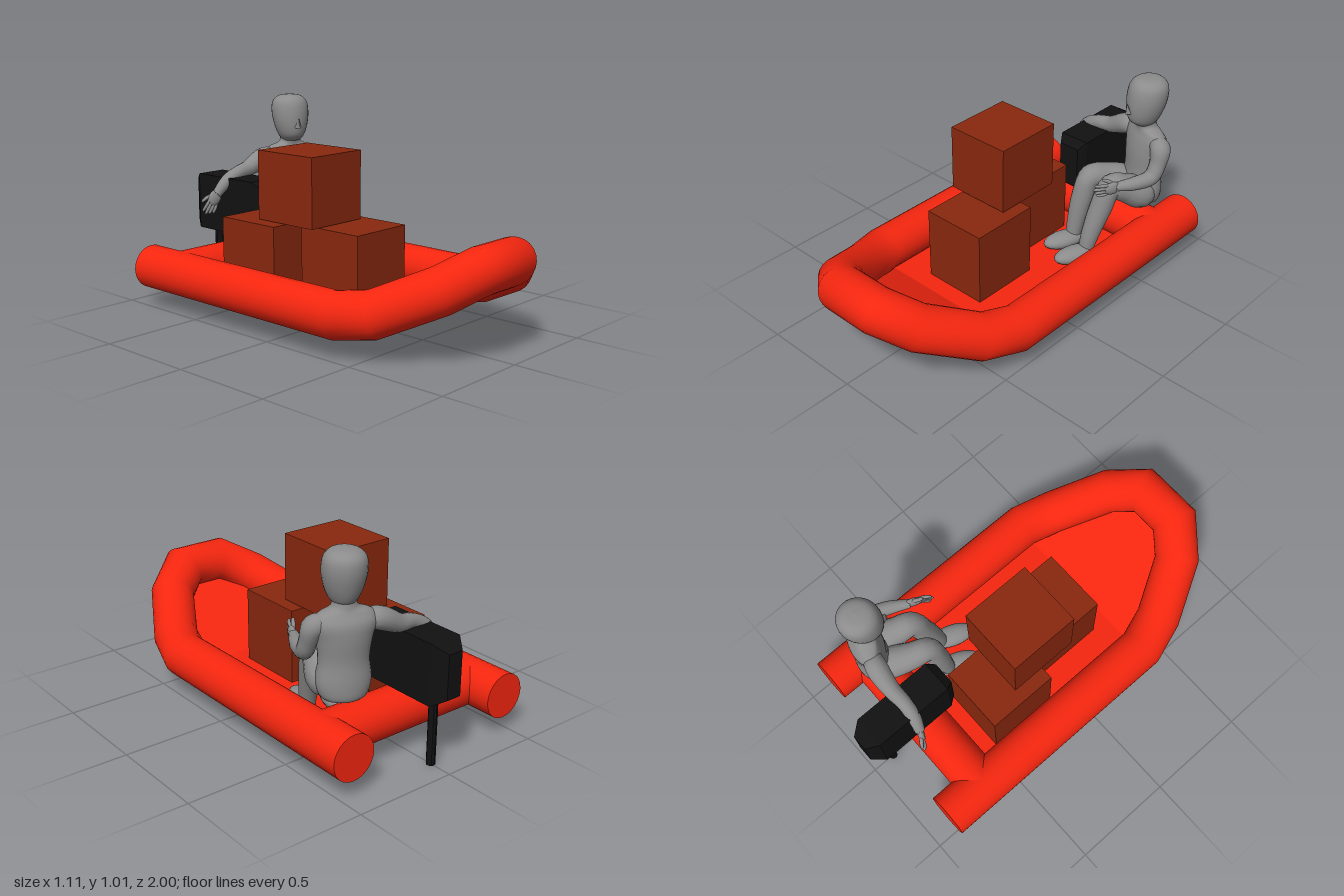
import * as THREE from 'three';

const V = (x, y, z) => new THREE.Vector3(x, y, z);
const material = (color, extra = {}) => new THREE.MeshStandardMaterial({ color, ...extra });

// Skin a list of rings (counter-clockwise about the direction of travel), with flat end caps
function loft(rings) {
  const n = rings[0].length, pos = [], idx = [];
  const add = p => pos.push(p.x, p.y, p.z) / 3 - 1;
  rings.forEach(r => r.forEach(add));
  for (let i = 0; i < rings.length - 1; i++) {
    for (let j = 0; j < n; j++) {
      const a = i * n + j, b = i * n + (j + 1) % n;
      idx.push(a, b, a + n, b, b + n, a + n);
    }
  }
  [rings[0], rings[rings.length - 1]].forEach((ring, end) => {
    const k = ring.map(add);
    for (let j = 1; j < n - 1; j++) idx.push(k[0], k[end ? j : j + 1], k[end ? j + 1 : j]);
  });
  const g = new THREE.BufferGeometry();
  g.setAttribute('position', new THREE.Float32BufferAttribute(pos, 3));
  g.setIndex(idx);
  g.computeVertexNormals();
  return g;
}

// Round pipe along a polyline with mitred joints
function mitredTube(path, radius, sides) {
  const dirs = path.slice(1).map((p, i) => p.clone().sub(path[i]).normalize());
  let offsets = Array.from({ length: sides }, (_, j) => {
    const a = j / sides * Math.PI * 2;
    return V(Math.cos(a) * radius, Math.sin(a) * radius, 0);
  });
  return loft(path.map((c, i) => {
    const d = dirs[Math.max(i - 1, 0)], next = dirs[Math.min(i, dirs.length - 1)];
    const m = d.clone().add(next);
    offsets = offsets.map(o => o.clone().addScaledVector(d, -o.dot(m) / d.dot(m)));
    return offsets.map(o => o.clone().add(c));
  }));
}

// Smooth tapering limb through [x, y, z, radius] points
function limb(points, sides = 14, steps = 5) {
  const curve = new THREE.CatmullRomCurve3(points.map(p => V(p[0], p[1], p[2])));
  const widths = new THREE.CatmullRomCurve3(points.map(p => V(p[3], p[0], p[1])));
  const count = (points.length - 1) * steps, rings = [];
  let u = V(0.31, 0.2, 0.93);
  for (let i = 0; i <= count; i++) {
    const c = curve.getPoint(i / count), d = curve.getTangent(i / count);
    const r = Math.max(widths.getPoint(i / count).x, 0.001);
    u = u.addScaledVector(d, -u.dot(d)).normalize();
    const v = d.clone().cross(u);
    rings.push(Array.from({ length: sides }, (_, j) => {
      const a = j / sides * Math.PI * 2;
      return c.clone().addScaledVector(u, Math.cos(a) * r).addScaledVector(v, Math.sin(a) * r);
    }));
  }
  return loft(rings);
}

// Stacked ellipses from [y, half width, half depth, z offset]
function ellipseStack(rows, sides = 28) {
  const curve = new THREE.CatmullRomCurve3(rows.map(r => V(r[1], r[0], r[2])));
  const shift = new THREE.CatmullRomCurve3(rows.map(r => V(r[3], r[0], r[2])));
  const count = (rows.length - 1) * 4;
  return loft(Array.from({ length: count + 1 }, (_, i) => {
    const p = curve.getPoint(i / count), z = shift.getPoint(i / count).x;
    return Array.from({ length: sides }, (_, j) => {
      const a = j / sides * Math.PI * 2;
      return V(Math.sin(a) * p.x, p.y, Math.cos(a) * p.z + z);
    });
  }));
}

export function createModel() {
  const model = new THREE.Group();
  const red = material(0xf5260f), brown = material(0x8a280e);
  const black = material(0x111111, { flatShading: true }), grey = material(0x8c8c8c);
  const mesh = (name, geometry, mat, parent = model) => {
    const m = new THREE.Mesh(geometry, mat);
    m.name = name;
    parent.add(m);
    return m;
  };

  // Inflated hull: one pipe around both sides and the raised bow
  const half = [[0.445, 0.19, -0.89], [0.445, 0.19, 0.37], [0.39, 0.215, 0.54], [0.25, 0.335, 0.785], [0.11, 0.413, 0.89]];
  const path = [
    ...half.map(([x, y, z]) => V(-x, y, z)),
    ...half.slice().reverse().map(([x, y, z]) => V(x, y, z)),
  ];
  mesh('hullTube', mitredTube(path, 0.108, 24), red);
  const transom = mesh('sternTube', new THREE.CylinderGeometry(0.108, 0.108, 0.89, 24), red);
  transom.rotation.z = Math.PI / 2;
  transom.position.set(0, 0.19, -0.67);

  // Floor: flat sheet that turns up towards the bow
  const rows = [[0.43, 0.115, -0.67], [0.43, 0.115, 0.37], [0.38, 0.195, 0.54], [0.24, 0.31, 0.785], [0.1, 0.36, 0.89]];
  const floorPos = [], floorIdx = [];
  rows.forEach(([x, y, z], i) => {
    floorPos.push(-x, y, z, x, y, z);
    if (i) {
      const a = i * 2 - 2;
      floorIdx.push(a, a + 2, a + 1, a + 1, a + 2, a + 3);
    }
  });
  const floor = new THREE.BufferGeometry();
  floor.setAttribute('position', new THREE.Float32BufferAttribute(floorPos, 3));
  floor.setIndex(floorIdx);
  const floorFlat = floor.toNonIndexed();
  floorFlat.computeVertexNormals();
  mesh('floor', floorFlat, material(0xf5260f, { side: THREE.DoubleSide }));

  // Cargo: two crates on the floor and one on top, as [x, bottom, top, z]
  [[-0.16, 0.115, 0.483, -0.305], [-0.035, 0.115, 0.483, 0.105], [-0.095, 0.488, 0.82, -0.12]].forEach(([x, y0, y1, z], i) => {
    mesh('crate' + (i + 1), new THREE.BoxGeometry(0.332, y1 - y0, 0.352), brown).position.set(x, (y0 + y1) / 2, z);
  });

  // Outboard motor: chamfered housing and shaft
  const housing = [[-1, 0.038, 0.105], [-0.94, 0.08, 0.143], [-0.545, 0.08, 0.143], [-0.505, 0.055, 0.11]].map(([z, w, h]) =>
    [[1, 1], [-1, 1], [-1, -1], [1, -1]].map(([sx, sy]) => V(sx * w, 0.468 + sy * h, z)));
  mesh('motorHousing', loft(housing), black);
  mesh('motorShaft', new THREE.CylinderGeometry(0.021, 0.021, 0.36, 10), black).position.set(0, 0.18, -0.885);

  // Seated person, turned a little towards the middle of the boat
  const person = new THREE.Group();
  person.name = 'person';
  model.add(person);
  const body = new THREE.Group();
  body.name = 'body';
  body.position.set(0.33, 0, -0.68);
  body.rotation.y = -0.36;
  person.add(body);
  mesh('torso', ellipseStack([
    [0.345, 0.05, 0.04, -0.01], [0.365, 0.1, 0.075, -0.005], [0.43, 0.122, 0.085, 0], [0.53, 0.112, 0.078, 0],
    [0.63, 0.124, 0.08, -0.005], [0.7, 0.14, 0.072, -0.01], [0.74, 0.12, 0.055, -0.005], [0.765, 0.06, 0.05, 0], [0.8, 0.052, 0.052, 0.008],
  ]), grey, body);
  mesh('head', ellipseStack([
    [0.775, 0.045, 0.05, 0.012], [0.8, 0.064, 0.075, 0.018], [0.85, 0.084, 0.092, 0.014], [0.92, 0.096, 0.1, 0.005],
    [0.975, 0.09, 0.092, 0], [1.005, 0.062, 0.065, 0], [1.015, 0.002, 0.002, 0],
  ]), grey, body);
  const nose = mesh('nose', new THREE.ConeGeometry(0.019, 0.055, 4), grey, body);
  nose.position.set(0, 0.873, 0.112);
  nose.rotation.x = 0.25;

  // Legs run hip, thigh, knee, shin, ankle; feet are flattened ellipsoids
  const legs = {
    right: { points: [[0.27, 0.42, -0.7, 0.04], [0.25, 0.43, -0.645, 0.076], [0.195, 0.47, -0.55, 0.068], [0.165, 0.488, -0.475, 0.057], [0.145, 0.38, -0.445, 0.055], [0.13, 0.24, -0.42, 0.045], [0.125, 0.145, -0.405, 0.036]], foot: [0.112, 0.145, -0.355] },
    left: { points: [[0.39, 0.41, -0.68, 0.04], [0.375, 0.42, -0.62, 0.08], [0.335, 0.475, -0.52, 0.07], [0.31, 0.5, -0.455, 0.06], [0.285, 0.38, -0.41, 0.056], [0.265, 0.24, -0.365, 0.045], [0.255, 0.15, -0.345, 0.036]], foot: [0.24, 0.152, -0.285] },
  };
  for (const [side, { points, foot }] of Object.entries(legs)) {
    mesh(side + 'Leg', limb(points), grey, person);
    const f = mesh(side + 'Foot', new THREE.SphereGeometry(1, 18, 12), grey, person);
    f.scale.set(0.056, 0.042, 0.115);
    f.position.set(...foot);
    f.rotation.y = -0.36;
  }

  // Arms: the right one reaches over the motor, the left one is held out forwards
  mesh('rightArm', limb([
    [0.25, 0.69, -0.71, 0.04], [0.19, 0.69, -0.73, 0.052], [0.08, 0.64, -0.74, 0.042], [0, 0.625, -0.735, 0.036],
    [-0.07, 0.59, -0.74, 0.033], [-0.125, 0.53, -0.755, 0.024],
  ]), grey, person);
  mesh('leftArm', limb([
    [0.41, 0.7, -0.655, 0.04], [0.452, 0.69, -0.635, 0.05], [0.462, 0.62, -0.61, 0.041], [0.455, 0.56, -0.575, 0.039],
    [0.425, 0.55, -0.49, 0.034], [0.375, 0.55, -0.4, 0.022],
  ]), grey, person);

  // Hand: flat palm, four fingers and a thumb, pointing along local +z, thumb on +y
  const hand = (name, from, to) => {
    const g = new THREE.Group();
    g.name = name;
    g.position.set(...from);
    g.lookAt(...to);
    person.add(g);
    const palm = mesh(name + 'Palm', new THREE.SphereGeometry(1, 14, 10), grey, g);
    palm.scale.set(0.017, 0.033, 0.045);
    palm.position.z = 0.025;
    for (let i = 0; i < 4; i++) {
      const y = (i - 1.5) * 0.015, reach = 0.115 - Math.abs(i - 2) * 0.009;
      mesh(name + 'Finger', limb([[0, y * 0.9, 0.035, 0.008], [0, y * 1.1, 0.075, 0.0085], [-0.008, y * 1.2, reach, 0.007], [-0.011, y * 1.2, reach + 0.007, 0.001]], 8, 3), grey, g);
    }
    mesh(name + 'Thumb', limb([[0, 0.01, 0.01, 0.01], [-0.01, 0.036, 0.04, 0.01], [-0.015, 0.048, 0.065, 0.007], [-0.016, 0.051, 0.071, 0.001]], 8, 3), grey, g);
  };
  hand('rightHand', [-0.125, 0.535, -0.755], [-0.175, 0.42, -0.775]);
  hand('leftHand', [0.38, 0.55, -0.405], [0.325, 0.545, -0.28]);

  return model;
}
